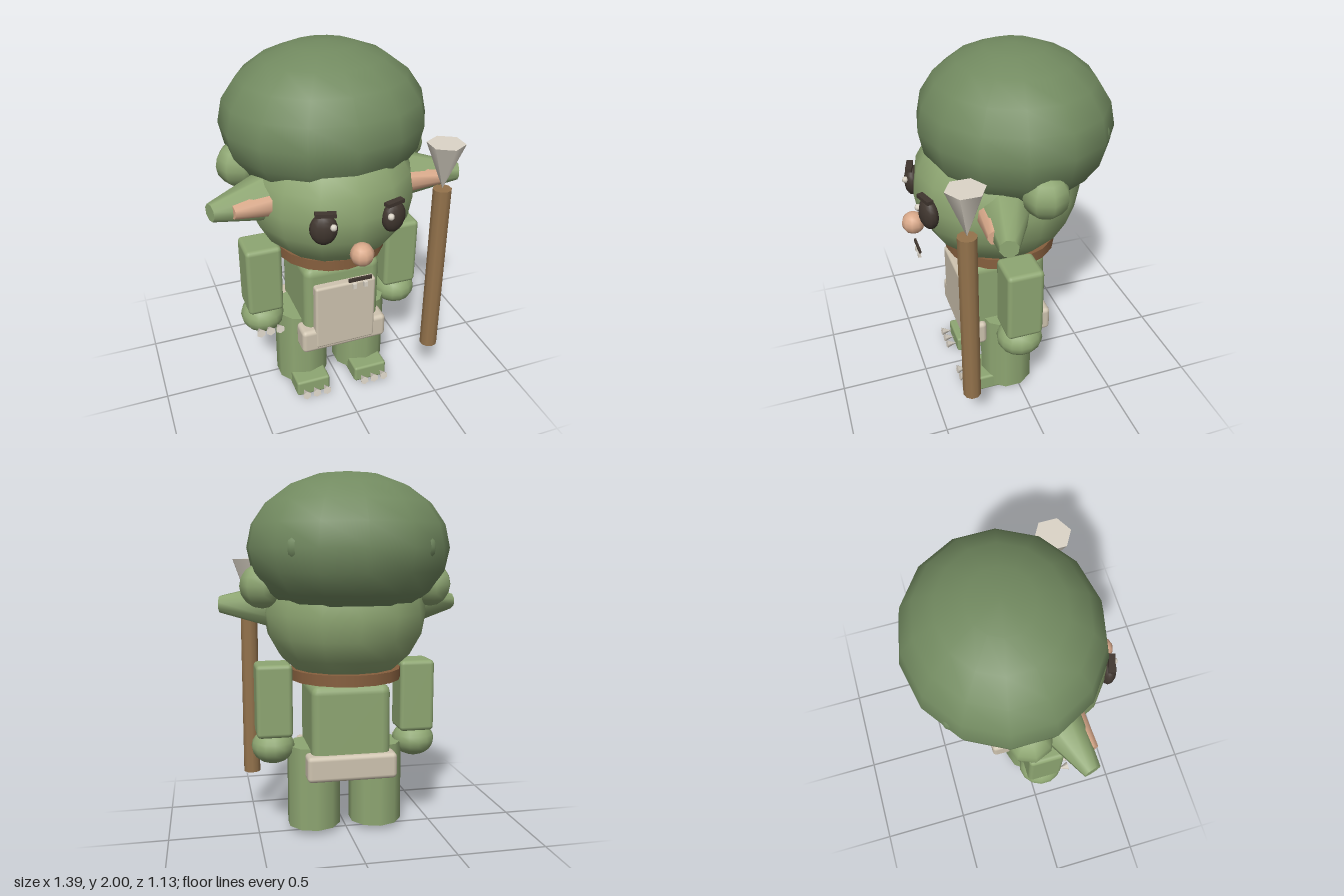
import * as THREE from 'three';
import { RoundedBoxGeometry } from 'three/addons/geometries/RoundedBoxGeometry.js';

const mat = (color) => new THREE.MeshStandardMaterial({ color });

export function createModel() {
  const root = new THREE.Group();
  const skin = mat(0x8ea672), cap = mat(0x728a60), cloth = mat(0xcfc4b0), leather = mat(0x865f3e);
  const wood = mat(0x94734c), dark = mat(0x40362f), pink = mat(0xd9a98a), bone = mat(0xdcd5c8);

  const add = (name, geometry, material, x, y, z) => {
    const mesh = new THREE.Mesh(geometry, material);
    mesh.name = name;
    mesh.position.set(x, y, z);
    root.add(mesh);
    return mesh;
  };
  // Low-poly ellipsoid with a vertex column facing the front
  const ball = (name, material, x, y, z, rx, ry, rz, w = 14, h = 10) =>
    add(name, new THREE.SphereGeometry(1, w, h).rotateY(Math.PI / 2).scale(rx, ry, rz), material, x, y, z);
  const box = (name, material, x, y, z, w, h, d, r = 0.02) =>
    add(name, new RoundedBoxGeometry(w, h, d, 2, r), material, x, y, z);
  // Tapered cylinder running between two points
  const taper = (name, material, a, b, ra, rb, sides) => {
    const from = new THREE.Vector3(...a), to = new THREE.Vector3(...b);
    const dir = to.clone().sub(from);
    const mid = from.clone().add(to).multiplyScalar(0.5);
    const mesh = add(name, new THREE.CylinderGeometry(rb, ra, dir.length(), sides), material, mid.x, mid.y, mid.z);
    mesh.quaternion.setFromUnitVectors(new THREE.Vector3(0, 1, 0), dir.normalize());
    return mesh;
  };
  const claw = (name, x, y, z) => taper(name, bone, [x, y - 0.004, z], [x, y + 0.004, z + 0.06], 0, 0.026, 6);

  // Head, cap, nose and collar
  ball('head', skin, 0, 1.25, 0.04, 0.455, 0.41, 0.45);
  ball('cap', cap, 0, 1.6, -0.06, 0.55, 0.4, 0.505);
  ball('nose', pink, 0, 1.08, 0.503, 0.062, 0.062, 0.062, 10, 8);
  add('collar', new THREE.CylinderGeometry(0.31, 0.31, 0.06, 18), leather, 0, 0.91, 0.02);

  // Mouth and teeth
  add('mouth', new THREE.BoxGeometry(0.125, 0.018, 0.012), dark, 0, 0.925, 0.49);
  for (const x of [-0.03, 0.03]) add('tooth', new THREE.BoxGeometry(0.02, 0.028, 0.016), bone, x, 0.887, 0.49);

  // Torso, apron and hip cloths
  box('torso', skin, 0, 0.605, 0.04, 0.44, 0.52, 0.44, 0.05);
  box('apron', cloth, 0, 0.567, 0.275, 0.35, 0.405, 0.06, 0.015);
  box('frontHipCloth', cloth, 0, 0.413, 0.238, 0.5, 0.145, 0.125, 0.025);
  box('backHipCloth', cloth, 0, 0.413, -0.147, 0.5, 0.145, 0.125, 0.025);

  for (const s of [-1, 1]) {
    // Face
    ball('eye', dark, s * 0.185, 1.235, 0.455, 0.07, 0.085, 0.045, 12, 10).rotation.y = s * 0.3;
    ball('eyeGlint', bone, s * 0.15, 1.26, 0.5, 0.018, 0.018, 0.018, 8, 6);
    add('eyebrow', new THREE.BoxGeometry(0.105, 0.02, 0.035), dark, s * 0.18, 1.32, 0.468).rotation.y = s * 0.3;

    // Ears
    taper('ear', skin, [s * 0.36, 1.285, 0.11], [s * 0.68, 1.287, 0.202], 0.135, 0.048, 8);
    taper('innerEar', pink, [s * 0.38, 1.285, 0.19], [s * 0.575, 1.287, 0.233], 0.072, 0.038, 8);

    // Knobs and bumps on the cap
    ball('sideKnob', skin, s * 0.465, 1.4, -0.06, 0.12, 0.12, 0.12, 8, 8);
    ball('backBump', cap, s * 0.31, 1.6, -0.365, 0.085, 0.085, 0.085, 10, 8);

    // Arms
    box('arm', skin, s * 0.406, 0.765, 0.042, 0.2, 0.41, 0.2, 0.025);
    ball('hand', skin, s * 0.41, 0.497, 0.043, 0.122, 0.097, 0.127);

    // Legs and feet
    add('leg', new THREE.CylinderGeometry(0.152, 0.152, 0.47, 10), skin, s * 0.18, 0.265, 0.043);
    box('foot', skin, s * 0.18, 0.052, 0.145, 0.2, 0.1, 0.25, 0.015);
    for (const d of [-0.062, 0, 0.062]) claw('toeClaw', s * 0.18 + d, 0.05, 0.27);
  }

  // Finger claws on the free hand
  for (const d of [-0.055, 0, 0.055]) claw('fingerClaw', -0.407 + d, 0.475, 0.145);

  // Spear: shaft and flared tip
  add('spearShaft', new THREE.CylinderGeometry(0.05, 0.05, 1.02, 10), wood, 0.51, 0.77, 0.35);
  add('spearTip', new THREE.ConeGeometry(0.1, 0.255, 6).rotateX(Math.PI), bone, 0.51, 1.408, 0.35);

  return root;
}
